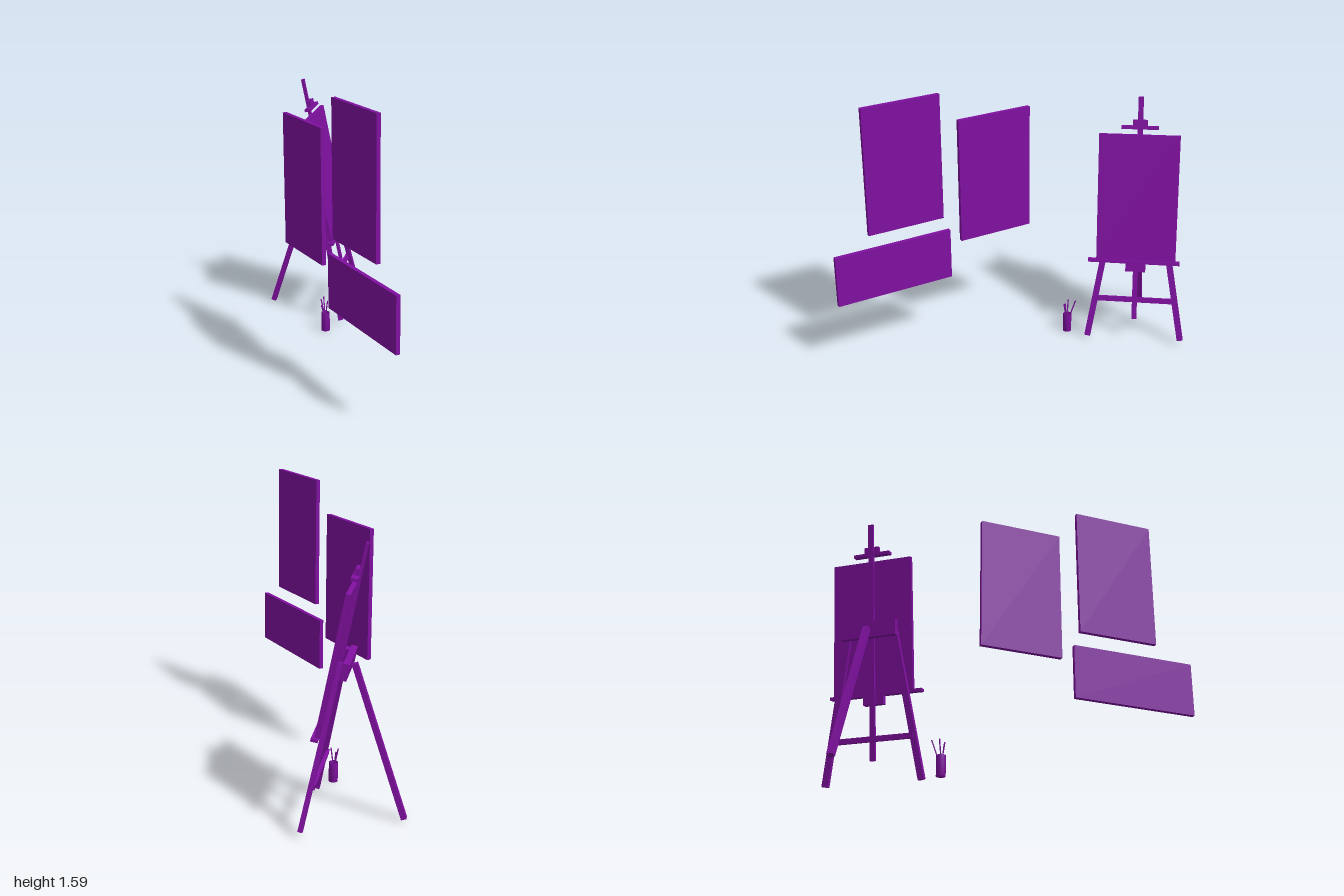
import * as THREE from 'three';

const material = new THREE.MeshStandardMaterial({ color: 0x8010a0, side: THREE.DoubleSide });

function add(parent, name, geometry, x = 0, y = 0, z = 0) {
  const mesh = new THREE.Mesh(geometry, material);
  mesh.name = name;
  mesh.position.set(x, y, z);
  parent.add(mesh);
  return mesh;
}

function box(parent, name, w, h, d, x, y, z) {
  return add(parent, name, new THREE.BoxGeometry(w, h, d), x, y, z);
}

// Stretches a geometry made by make(length) between two points
function span(parent, name, from, to, make) {
  const a = new THREE.Vector3(...from), b = new THREE.Vector3(...to);
  const dir = b.clone().sub(a);
  const mesh = add(parent, name, make(dir.length()));
  mesh.position.copy(a).lerp(b, 0.5);
  mesh.quaternion.setFromUnitVectors(new THREE.Vector3(0, 1, 0), dir.normalize());
  return mesh;
}

function createEasel() {
  // Origin: bottom centre of the canvas front, turned, leaning back and slightly rolled
  const easel = new THREE.Group();
  easel.name = 'easel';
  easel.position.set(0.152, 0.518, -0.68);
  easel.rotation.set(-0.19, 0.883, 0.025, 'YXZ');

  box(easel, 'canvas', 0.472, 0.77, 0.024, 0, 0.385, -0.012);
  box(easel, 'mast', 0.03, 1.36, 0.016, 0, 0.308, -0.033);

  // Top clamp and bottom shelf
  box(easel, 'topLedge', 0.217, 0.017, 0.036, 0, 0.812, -0.015);
  box(easel, 'topBlock', 0.085, 0.036, 0.024, 0, 0.838, -0.017);
  box(easel, 'shelf', 0.546, 0.017, 0.038, -0.012, 0, -0.004);
  box(easel, 'shelfBlock', 0.118, 0.05, 0.038, 0, -0.033, -0.006);

  // Legs and the bars that join them
  for (const side of [-1, 1]) {
    span(easel, 'frontLeg', [side * 0.283, -0.495, -0.036], [side * 0.13, 0.39, -0.04],
      (l) => new THREE.BoxGeometry(0.036, l, 0.026));
  }
  box(easel, 'crossBrace', 0.49, 0.03, 0.018, 0, -0.255, -0.05);
  box(easel, 'backBar', 0.33, 0.09, 0.034, 0, 0.355, -0.073);
  span(easel, 'rearLeg', [0.004, -0.41, -0.535], [0, 0.36, -0.103],
    (l) => new THREE.BoxGeometry(0.036, l, 0.03));
  return easel;
}

function createBrushCup() {
  const cup = new THREE.Group();
  cup.name = 'brushCup';
  cup.position.set(-0.112, 0, -0.372);

  // Hollow cup
  const profile = [[0, 0], [0.026, 0], [0.026, 0.115], [0.022, 0.115], [0.022, 0.008], [0, 0.008]];
  add(cup, 'cup', new THREE.LatheGeometry(profile.map(([x, y]) => new THREE.Vector2(x, y)), 20));

  // Brushes: lean of the foot and tip
  const brushes = [
    [[0.01, 0.012], [-0.02, 0.2, -0.018]],
    [[-0.008, -0.008], [0.005, 0.195, 0.02]],
    [[-0.004, 0.014], [0.014, 0.2, -0.05]],
    [[0.012, 0], [-0.03, 0.17, 0.006]],
  ];
  for (const [[x, z], tip] of brushes) {
    span(cup, 'brush', [x, 0.01, z], tip, (l) => new THREE.CylinderGeometry(0.004, 0.003, l, 8));
  }
  return cup;
}

export function createModel() {
  const model = new THREE.Group();
  model.name = 'artStudio';
  model.add(createEasel(), createBrushCup());

  // Hanging panels: height, width, then centre x, y, z
  const panels = [
    [0.76, 0.47, -0.399, 1.21, 0.555],
    [0.762, 0.468, -0.405, 1.027, -0.03],
    [0.311, 0.724, -0.406, 0.581, 0.638],
  ];
  for (const [h, w, x, y, z] of panels) box(model, 'wallPanel', 0.024, h, w, x, y, z);
  return model;
}
